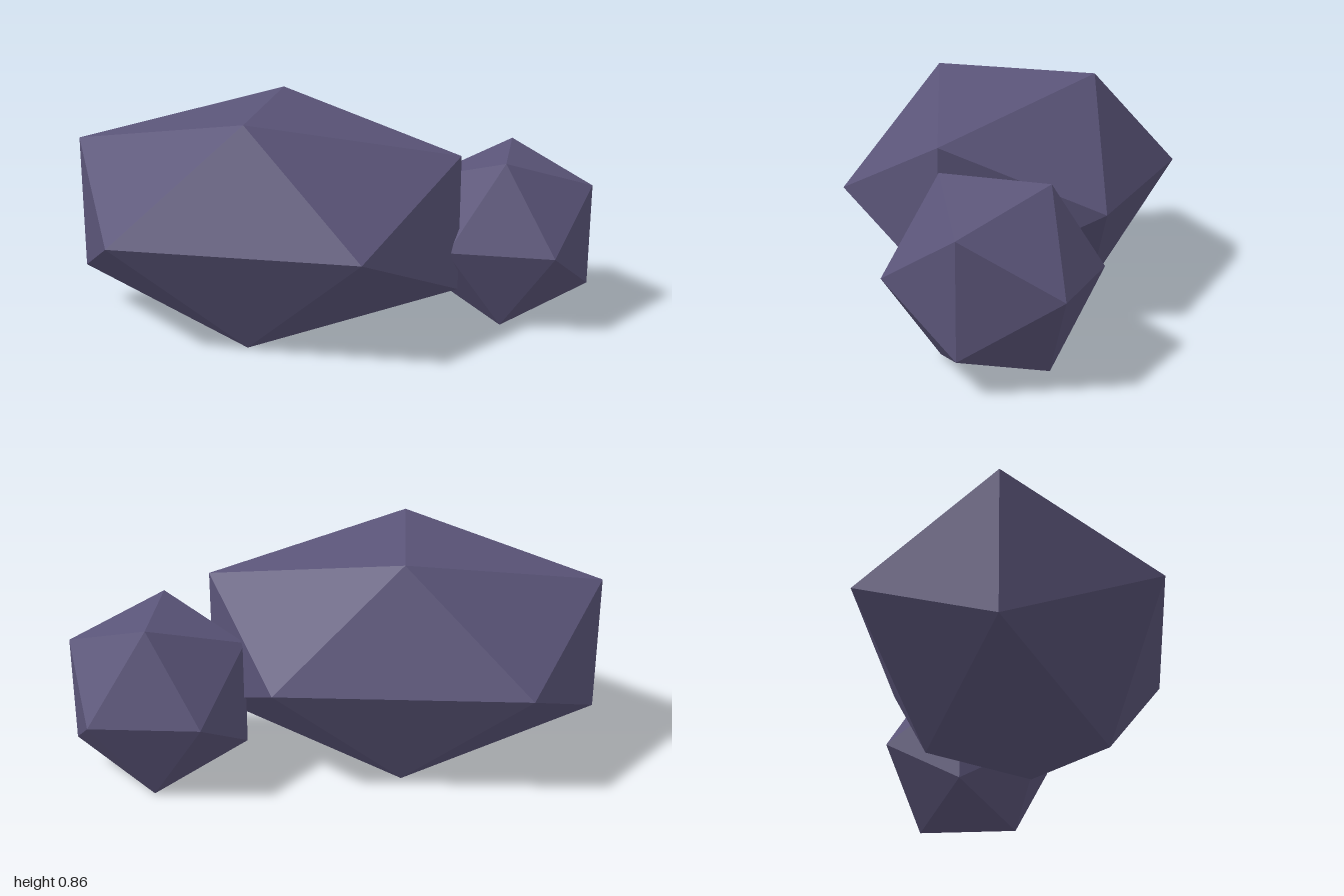
import * as THREE from 'three';

export function createModel() {
  const model = new THREE.Group();
  model.name = 'rocks';

  const stone = new THREE.MeshStandardMaterial({ color: 0x5a5478, flatShading: true });
  stone.name = 'purple grey stone';

  // One faceted boulder, sized by its half extents along each axis
  const REACH = 0.85065; // extent of a unit icosahedron along x, y and z
  function addRock(name, half, position) {
    const geometry = new THREE.IcosahedronGeometry(1, 0);
    geometry.rotateY(Math.PI / 2);
    geometry.scale(...half.map((h) => h / REACH));
    geometry.computeVertexNormals();
    const rock = new THREE.Mesh(geometry, stone);
    rock.name = name;
    rock.position.set(...position);
    model.add(rock);
  }

  // Wide flattened boulder and the small round one leaning at its side
  addRock('largeRock', [0.753, 0.43, 0.537], [-0.247, 0.437, 0.034]);
  addRock('smallRock', [0.328, 0.328, 0.328], [0.669, 0.331, -0.247]);

  return model;
}
